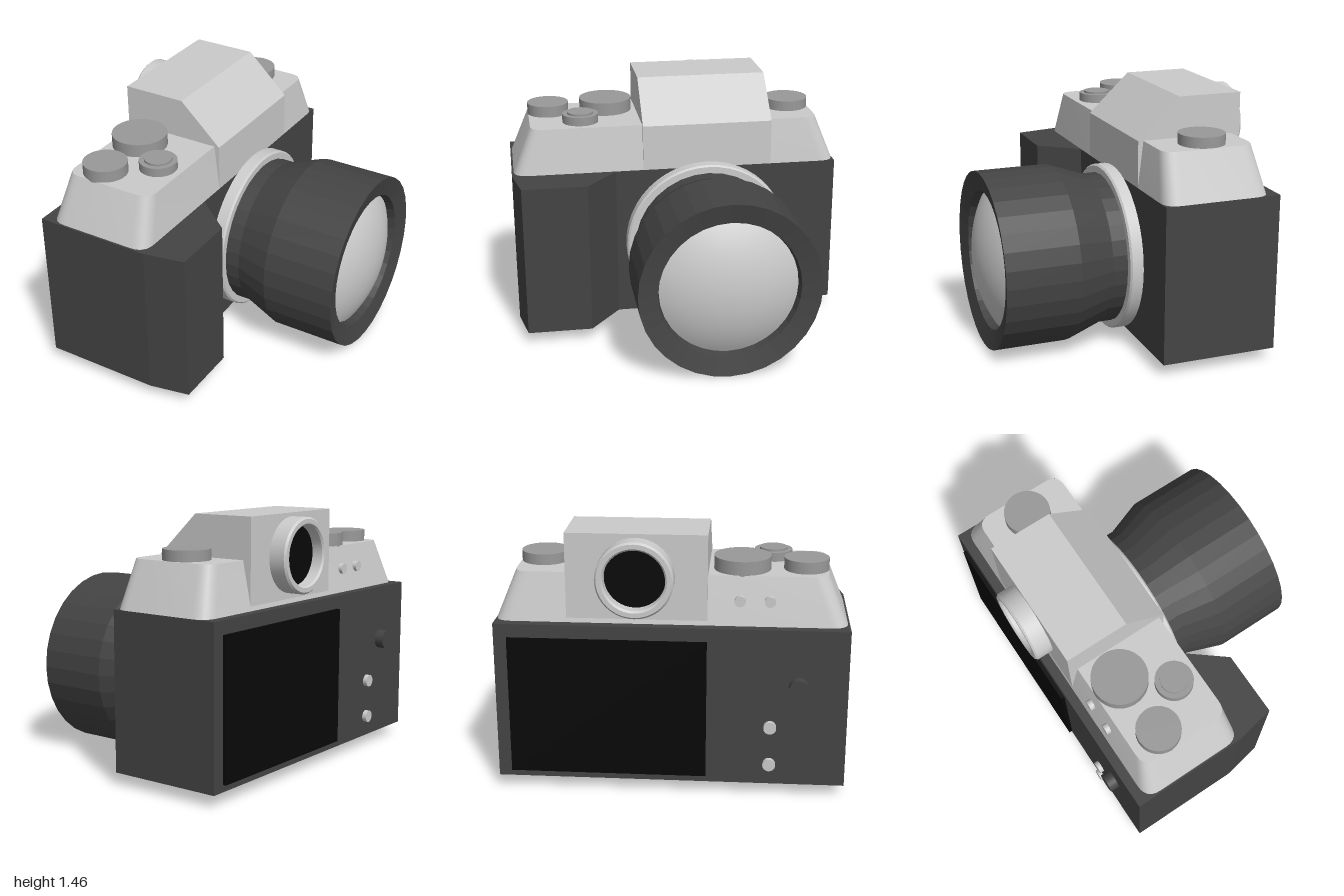
import * as THREE from 'three';
import { toCreasedNormals } from 'three/addons/utils/BufferGeometryUtils.js';

const V = (x, y) => new THREE.Vector2(x, y);
const mat = (color, extra = {}) => new THREE.MeshStandardMaterial({ color, ...extra });

export function createModel() {
  const root = new THREE.Group();
  root.name = 'camera';
  const silver = mat(0xcccccc), grey = mat(0x999999), leather = mat(0x444444);
  const barrelMat = mat(0x444444, { flatShading: true }), black = mat(0x080808);

  const add = (name, geometry, material, x = 0, y = 0, z = 0) => {
    const mesh = new THREE.Mesh(geometry, material);
    mesh.name = name;
    mesh.position.set(x, y, z);
    root.add(mesh);
    return mesh;
  };
  // Upright prism over an outline drawn as (x, -z)
  const upright = (shape, h) => new THREE.ExtrudeGeometry(shape, { depth: h, bevelEnabled: false, curveSegments: 6 }).rotateX(-Math.PI / 2);
  // Turned part whose axis points forward (dir 1) or backward (dir -1)
  const turned = (pts, sides, dir = 1) => new THREE.LatheGeometry(pts.map(p => V(...p)), sides).rotateX(dir * Math.PI / 2);

  // Body and its front grip
  const outline = [[-1.01, -0.7], [0.907, -0.7], [0.907, -0.03], [-0.409, -0.03], [-0.592, 0.198], [-0.966, 0.198], [-1.01, -0.03]];
  add('body', upright(new THREE.Shape(outline.map(([x, z]) => V(x, -z))), 0.895), leather, 0, 0.07, 0);

  // Top cover: rounded rectangle tapering upward
  const w = 0.953, d = 0.3075, r = 0.09, cover = new THREE.Shape();
  cover.moveTo(-w + r, -d);
  cover.lineTo(w - r, -d);
  cover.quadraticCurveTo(w, -d, w, -d + r);
  cover.lineTo(w, d - r);
  cover.quadraticCurveTo(w, d, w - r, d);
  cover.lineTo(-w + r, d);
  cover.quadraticCurveTo(-w, d, -w, d - r);
  cover.lineTo(-w, -d + r);
  cover.quadraticCurveTo(-w, -d, -w + r, -d);
  const coverGeo = upright(cover, 0.265), p = coverGeo.attributes.position;
  for (let i = 0; i < p.count; i++) {
    if (p.getY(i) > 0.1) {
      p.setX(i, p.getX(i) * 0.887);
      p.setZ(i, p.getZ(i) * 0.862 + 0.012);
    }
  }
  add('topCover', toCreasedNormals(coverGeo, 0.6), silver, -0.047, 0.965, -0.3375);

  // Viewfinder hump: side profile (z, y) extruded across
  const hump = new THREE.Shape([V(-0.64, 0.965), V(-0.03, 0.965), V(-0.03, 1.23), V(-0.272, 1.46), V(-0.64, 1.46)]);
  const humpGeo = new THREE.ExtrudeGeometry(hump, { depth: 0.762, bevelEnabled: false }).rotateY(-Math.PI / 2);
  add('viewfinderHump', humpGeo, silver, 0.515, 0, 0);

  // Eyepiece on the back of the hump
  const ring = turned([[0.21, -0.04], [0.21, 0.092], [0.2, 0.103], [0.175, 0.103], [0.165, 0.093], [0.165, 0.02]], 40, -1);
  add('eyepieceRing', toCreasedNormals(ring, 0.6), silver, 0.137, 1.23, -0.64);
  add('eyepieceWindow', new THREE.CircleGeometry(0.17, 40).rotateY(Math.PI), black, 0.137, 1.23, -0.67);

  // Lens
  const lx = 0.128, ly = 0.513;
  const mount = turned([[0, -0.19], [0.475, -0.19], [0.485, -0.18], [0.485, 0.035], [0.475, 0.045], [0.4, 0.045]], 48);
  add('lensMount', toCreasedNormals(mount, 0.5), silver, lx, ly, 0);
  add('lensBarrel', turned([[0.438, -0.02], [0.438, 0.13], [0.513, 0.34], [0.513, 0.765], [0.4, 0.74], [0.39, 0.69]], 32), barrelMat, lx, ly, 0);
  const dome = [];
  for (let i = 0; i <= 10; i++) {
    const a = (1 - i / 10) * Math.PI / 2 * 0.42;
    const s = 0.395 / Math.sin(Math.PI / 2 * 0.42);
    dome.push([s * Math.sin(a), 0.798 - s * (1 - Math.cos(a)) * 0.8]);
  }
  add('lensGlass', turned(dome, 48), silver, lx, ly, 0);

  // Top dials: name, x, z, radius, top height
  for (const [name, x, z, rad, top] of [
    ['leftDial', 0.668, -0.336, 0.13, 1.29],
    ['largeDial', -0.428, -0.437, 0.155, 1.305],
    ['cornerDial', -0.774, -0.421, 0.122, 1.295],
    ['shutterCollar', -0.596, -0.2, 0.105, 1.28],
    ['shutterButton', -0.596, -0.2, 0.077, 1.292],
  ]) {
    const h = top - 1.2;
    add(name, new THREE.CylinderGeometry(rad, rad, h, 40), grey, x, 1.2 + h / 2, z);
  }

  // Back screen and controls: name, x, y, z of outer face, radius, material
  add('screen', new THREE.BoxGeometry(1.08, 0.78, 0.04), black, 0.292, 0.5, -0.7);
  for (const [name, x, y, z, rad, m] of [
    ['thumbKnob', -0.745, 0.645, -0.752, 0.055, leather],
    ['upperBackButton', -0.595, 0.41, -0.725, 0.035, silver],
    ['lowerBackButton', -0.595, 0.19, -0.725, 0.035, silver],
    ['innerCoverButton', -0.42, 1.1, -0.64, 0.03, silver],
    ['outerCoverButton', -0.58, 1.1, -0.64, 0.03, silver],
  ]) {
    add(name, new THREE.CylinderGeometry(rad, rad, 0.08, 24).rotateX(Math.PI / 2), m, x, y, z + 0.04);
  }

  // Camera turned toward its left side
  root.rotation.y = THREE.MathUtils.degToRad(81.6);
  const group = new THREE.Group();
  group.add(root);
  return group;
}
